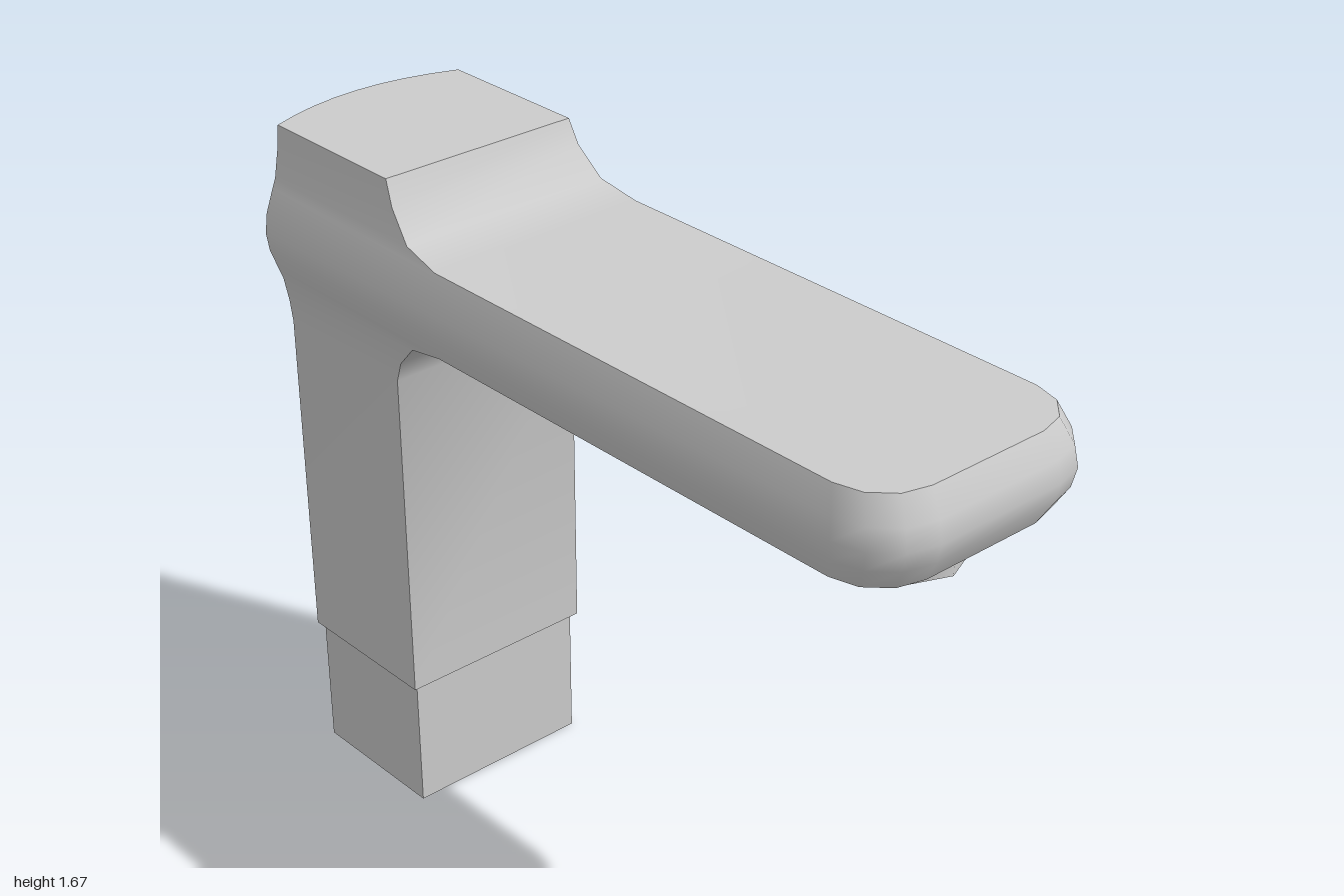
import * as THREE from 'three';
import { toCreasedNormals } from 'three/addons/utils/BufferGeometryUtils.js';

const BACK_STEPS = 8, CORNER_STEPS = 3;

// Plan outline at one height: bowed back, straight sides, front corners of radius r
function ring({ y, w, front, back, bow, r = 0 }) {
  const points = [];
  for (let i = 0; i <= BACK_STEPS; i++) {
    const t = (i / BACK_STEPS) * 2 - 1;
    points.push(new THREE.Vector3(w * t, y, back + bow * t * t));
  }
  for (const side of [1, -1]) {
    for (let i = 0; i <= CORNER_STEPS; i++) {
      const step = side > 0 ? i : CORNER_STEPS - i;
      const a = (step / CORNER_STEPS) * Math.PI / 2;
      points.push(new THREE.Vector3(
        side * (w - r + r * Math.cos(a)), y, front - r + r * Math.sin(a)));
    }
  }
  return points;
}

// Skin a stack of outlines from bottom to top and close both ends
function loft(sections) {
  const rings = sections.map(ring);
  const positions = [];
  const tri = (a, b, c) => {
    const area = b.clone().sub(a).cross(c.clone().sub(a)).length();
    if (area > 1e-7) for (const p of [a, b, c]) positions.push(p.x, p.y, p.z);
  };
  const n = rings[0].length;
  for (let k = 0; k < rings.length - 1; k++) {
    const lo = rings[k], hi = rings[k + 1];
    for (let i = 0; i < n; i++) {
      const j = (i + 1) % n;
      tri(lo[i], hi[i], lo[j]);
      tri(hi[i], hi[j], lo[j]);
    }
  }
  const cap = (pts, up) => {
    const c = pts.reduce((s, p) => s.add(p), new THREE.Vector3()).divideScalar(n);
    for (let i = 0; i < n; i++) {
      const j = (i + 1) % n;
      if (up) tri(c, pts[j], pts[i]);
      else tri(c, pts[i], pts[j]);
    }
  };
  cap(rings[0], false);
  cap(rings[rings.length - 1], true);
  const geometry = new THREE.BufferGeometry();
  geometry.setAttribute('position', new THREE.Float32BufferAttribute(positions, 3));
  return toCreasedNormals(geometry, 0.8);
}

export function createModel() {
  const group = new THREE.Group();
  const material = new THREE.MeshStandardMaterial({ color: 0xcccccc });
  const add = (name, geometry) => {
    const mesh = new THREE.Mesh(geometry, material);
    mesh.name = name;
    group.add(mesh);
    return mesh;
  };

  // Column and spout in one skin: [height, half width, front z, corner radius]
  const profile = [
    [0.34, 0.256, -0.545, 0],
    [1.18, 0.256, -0.545, 0],
    [1.235, 0.262, -0.52, 0],
    [1.297, 0.274, -0.457, 0],
    [1.32, 0.283, -0.35, 0],
    [1.32, 0.283, 0.958, 0.13],
    [1.375, 0.304, 0.99, 0.14],
    [1.42, 0.311, 1.0, 0.145],
    [1.468, 0.304, 0.99, 0.14],
    [1.523, 0.283, 0.958, 0.13],
    [1.523, 0.283, -0.35, 0],
    [1.545, 0.274, -0.457, 0],
    [1.61, 0.262, -0.52, 0],
    [1.667, 0.256, -0.545, 0],
  ];
  add('columnAndSpout', loft(profile.map(([y, w, front, r]) =>
    ({ y, w, front, r, back: -1, bow: 0.053 }))));

  // Slightly inset foot
  add('base', loft([0, 0.34].map((y) =>
    ({ y, w: 0.242, front: -0.557, back: -0.985, bow: 0.05 }))));

  // Outlet under the spout tip
  const nozzle = add('nozzle', new THREE.CylinderGeometry(0.138, 0.138, 0.1, 8));
  nozzle.position.set(0, 1.283, 0.755);

  return group;
}
